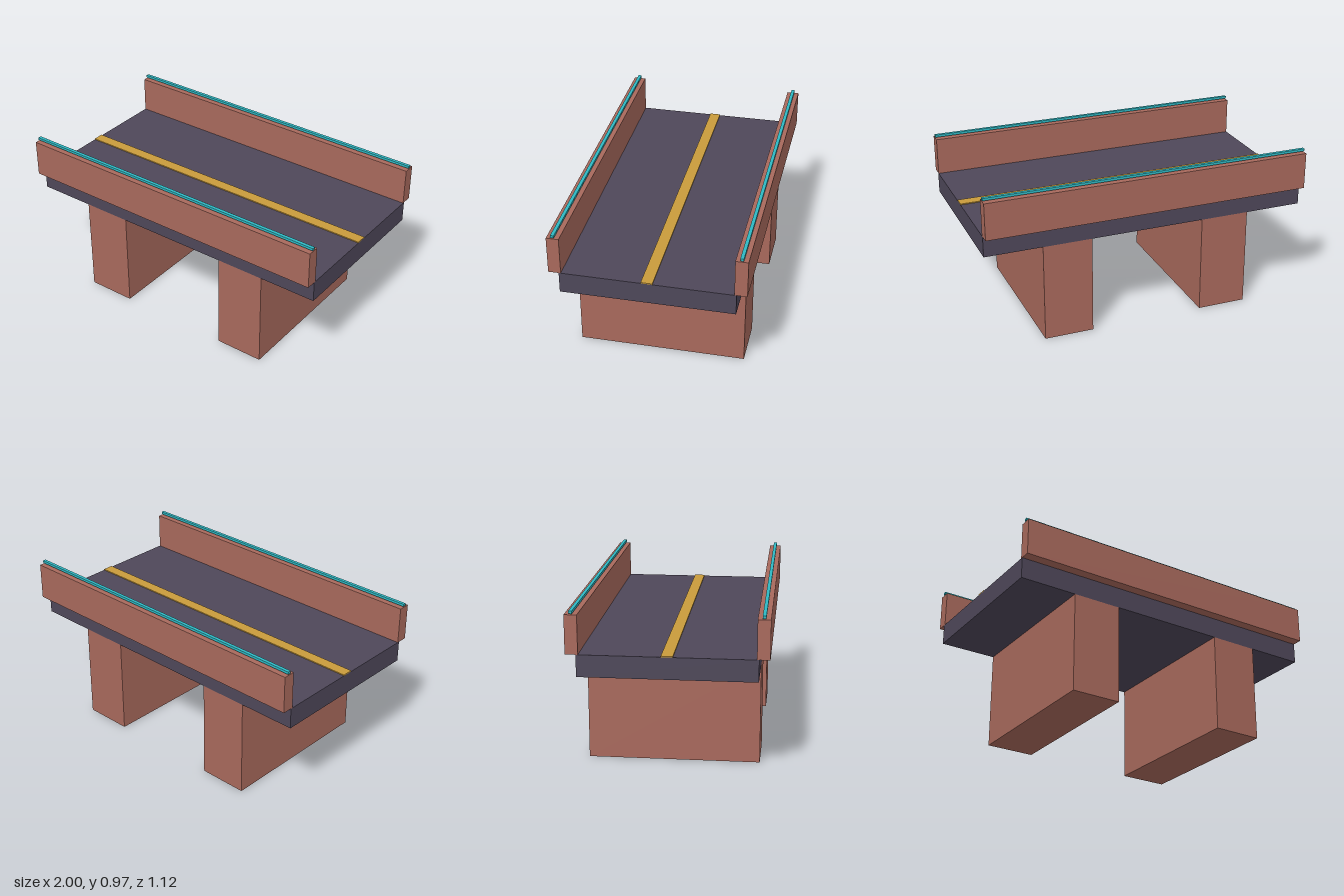
import * as THREE from 'three';

const paint = (name, color) => {
  const m = new THREE.MeshStandardMaterial({ color });
  m.name = name;
  return m;
};

export function createModel() {
  const bridge = new THREE.Group();
  bridge.name = 'bridgeSection';

  const brick = paint('brick red', 0xa8695c);
  const asphalt = paint('dark asphalt', 0x4e4759);
  const gold = paint('lane gold', 0xc99b3b);
  const teal = paint('light strip teal', 0x2fb9c4);

  // Box given by its x, y and z extents
  const block = (name, material, [x0, x1], [y0, y1], [z0, z1]) => {
    const mesh = new THREE.Mesh(new THREE.BoxGeometry(x1 - x0, y1 - y0, z1 - z0), material);
    mesh.position.set((x0 + x1) / 2, (y0 + y1) / 2, (z0 + z1) / 2);
    mesh.name = name;
    bridge.add(mesh);
  };

  const span = [-1, 1];

  // Road deck and its centre line
  block('deck', asphalt, span, [0.6, 0.727], [-0.5, 0.5]);
  block('centreLine', gold, span, [0.727, 0.733], [-0.033, 0.033]);

  for (const [side, s] of [['left', 1], ['right', -1]]) {
    // Wall pier under the deck
    block(`${side}Pier`, brick, [s * 0.5 - 0.15, s * 0.5 + 0.15], [0, 0.6], [-0.5, 0.5]);
  }

  for (const [side, s] of [['front', 1], ['back', -1]]) {
    // Parapet overhanging the deck edge, with a thin strip just above it
    const z = s * 0.524;
    block(`${side}Parapet`, brick, span, [0.727, 0.951], [z - 0.036, z + 0.036]);
    block(`${side}LightStrip`, teal, span, [0.957, 0.972], [z - 0.01, z + 0.01]);
  }

  return bridge;
}
